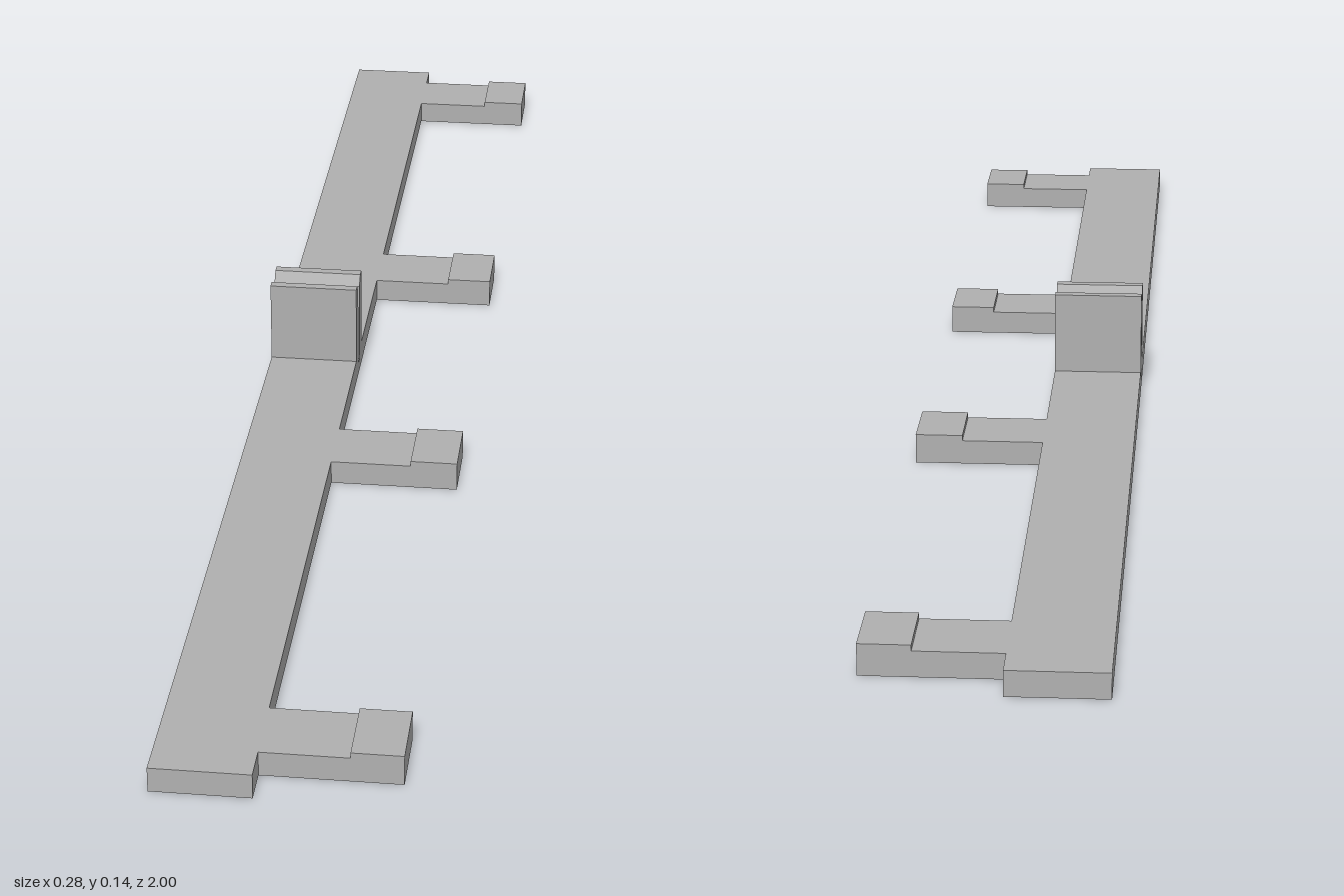
import * as THREE from 'three';

const grey = new THREE.MeshStandardMaterial({ color: 0xb0b0b0 });
grey.name = 'plain grey';

function extrude(points, depth) {
  const shape = new THREE.Shape(points.map(([a, b]) => new THREE.Vector2(a, b)));
  return new THREE.ExtrudeGeometry(shape, { depth, bevelEnabled: false });
}

function addPart(group, name, geometry) {
  const mesh = new THREE.Mesh(geometry, grey);
  mesh.name = name;
  group.add(mesh);
}

export function createModel() {
  const group = new THREE.Group();
  group.name = 'slottedRail';
  const left = -0.14, inner = -0.023, thick = 0.031;

  // Long rail with the upright slotted clip: one half of the (z, y) profile, mirrored
  const half = [
    [1, 0], [1, thick], [0.03, thick], [0.03, 0.14],
    [0.018, 0.14], [0.007, 0.127], [0.007, 0.016],
  ];
  const mirrored = half.map(([z, y]) => [-z, y]).reverse();
  const rail = extrude([...half, ...mirrored], inner - left);
  rail.rotateY(-Math.PI / 2);
  rail.translate(inner, 0, 0);
  addPart(group, 'railWithClip', rail);

  // Four side arms, each with a raised pad at the tip
  const armProfile = [
    [inner, 0], [0.14, 0], [0.14, 0.038], [0.08, 0.038], [0.08, thick], [inner, thick],
  ];
  const armWidth = 0.087;
  for (const z of [-0.913, -0.264, 0.264, 0.913]) {
    const arm = extrude(armProfile, armWidth);
    arm.translate(0, 0, z - armWidth / 2);
    addPart(group, 'sideArm', arm);
  }
  return group;
}
